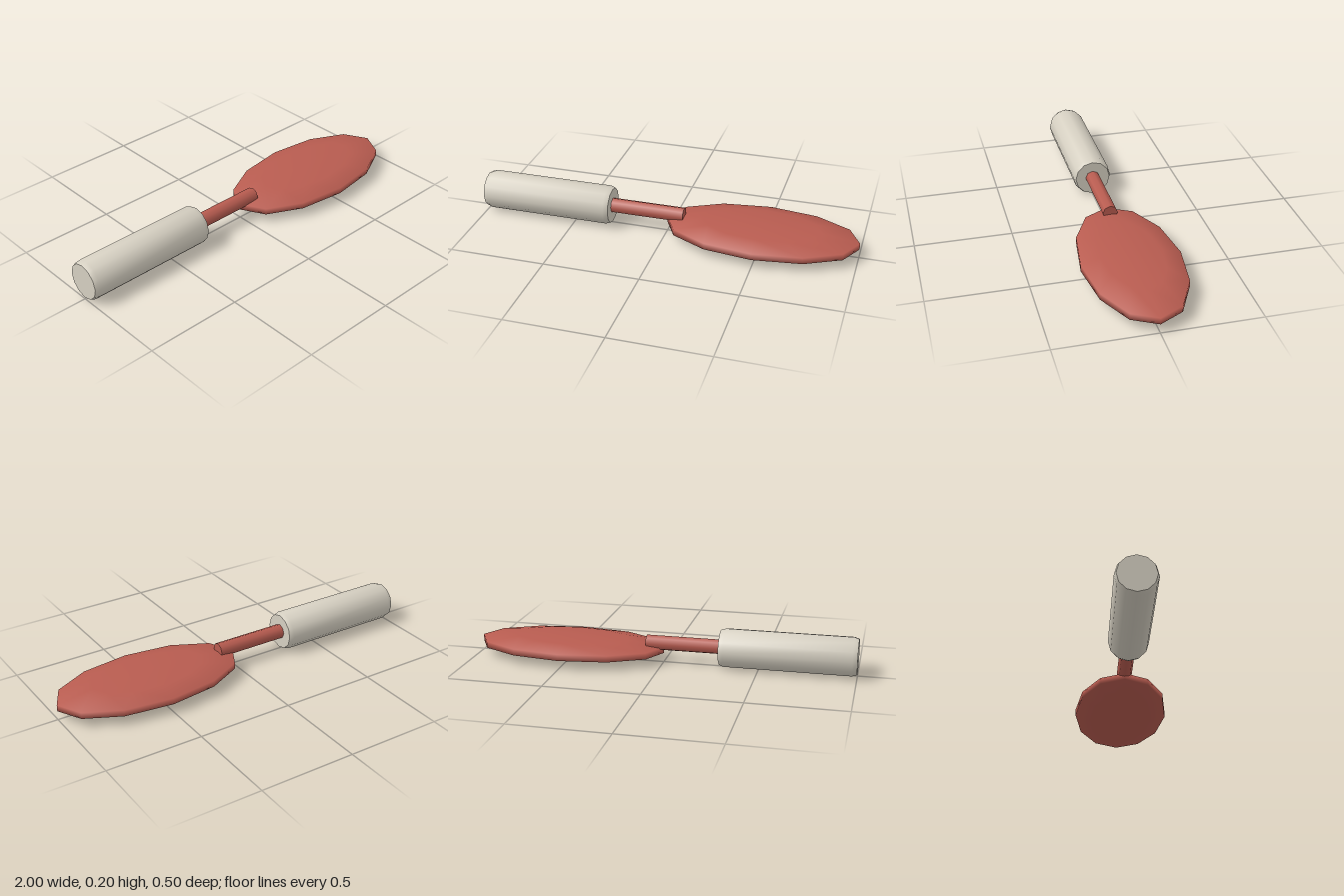
import * as THREE from 'three';
import { toCreasedNormals } from 'three/addons/utils/BufferGeometryUtils.js';

export function createModel() {
  const model = new THREE.Group();
  model.name = 'paddle';

  const red = new THREE.MeshStandardMaterial({ color: 0xb85c50 });
  red.name = 'muted red';
  const cream = new THREE.MeshStandardMaterial({ color: 0xd6d0c2 });
  cream.name = 'warm cream';

  const add = (name, geometry, material, x, y) => {
    const mesh = new THREE.Mesh(geometry, material);
    mesh.name = name;
    mesh.position.set(x, y, 0);
    model.add(mesh);
    return mesh;
  };

  // Handle: twelve-sided grip with chamfered ends, lying along x
  const radius = 0.1015, capRadius = 0.093, half = 0.35, chamfer = 0.025;
  const profile = [
    [0, -half], [capRadius, -half], [radius, -half + chamfer],
    [radius, half - chamfer], [capRadius, half], [0, half],
  ].map(([r, y]) => new THREE.Vector2(r, y));
  const grip = toCreasedNormals(new THREE.LatheGeometry(profile, 12), 0.65);
  grip.rotateZ(Math.PI / 2);
  add('handle', grip, cream, -0.65, radius);

  // Shaft: eight-sided rod from the handle to the blade
  const rod = new THREE.CylinderGeometry(0.039, 0.039, 0.41, 8);
  rod.rotateZ(Math.PI / 2);
  add('shaft', rod, red, -0.115, 0.103);

  // Blade: low-poly sphere flattened into a pointed oval with a narrow upright rim
  const blade = new THREE.SphereGeometry(1, 12, 5);
  blade.scale(0.5257, 0.0545, 0.2629);
  add('blade', blade, red, 0.5, 0.0645);

  return model;
}
